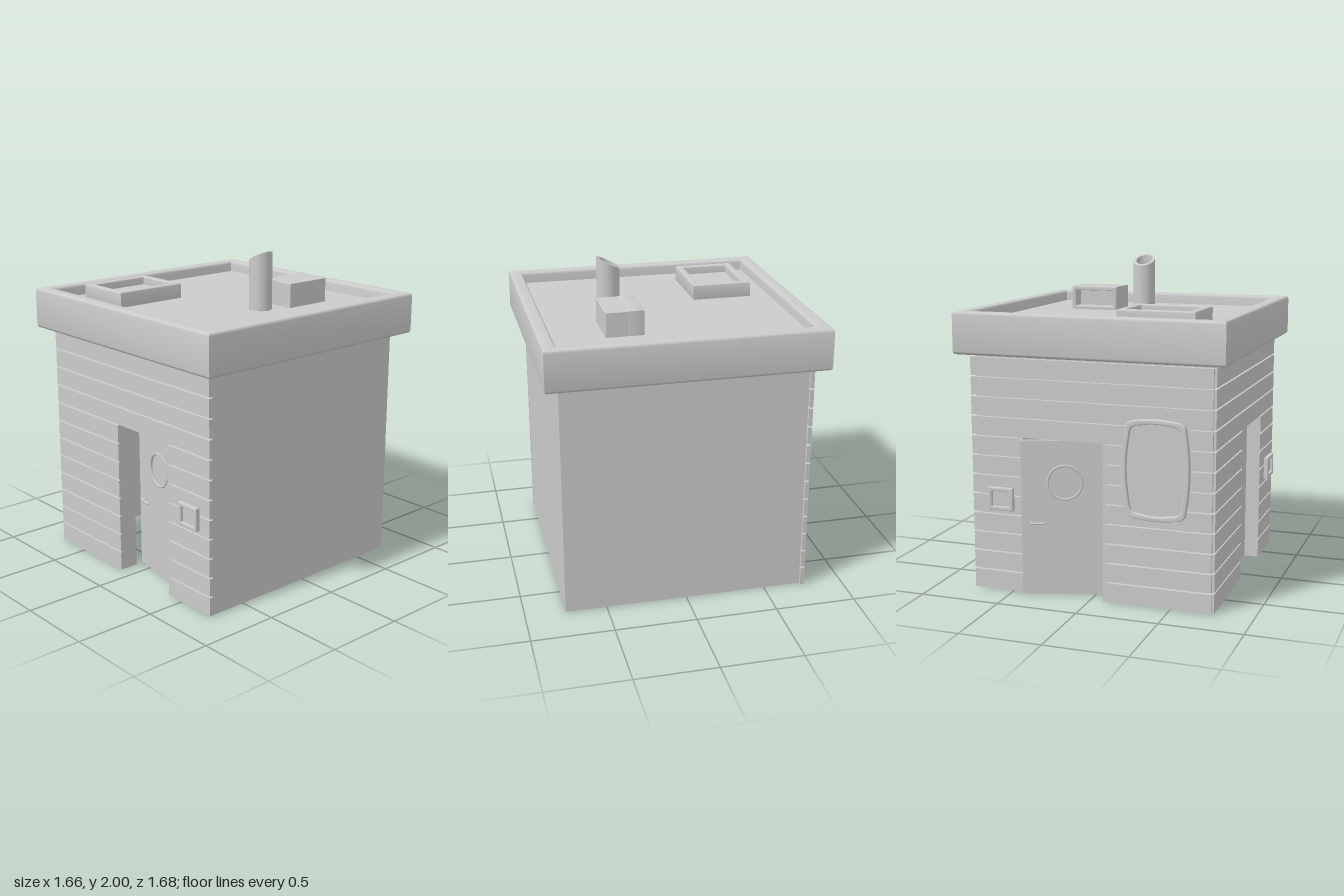
import * as THREE from 'three';
import { toCreasedNormals } from 'three/addons/utils/BufferGeometryUtils.js';
import { RoundedBoxGeometry } from 'three/addons/geometries/RoundedBoxGeometry.js';

const grey = new THREE.MeshStandardMaterial({ color: 0xcccccc });
const greyThin = new THREE.MeshStandardMaterial({ color: 0xcccccc, side: THREE.DoubleSide });

function add(parent, name, geometry, x = 0, y = 0, z = 0, material = grey) {
  const mesh = new THREE.Mesh(geometry, material);
  mesh.name = name;
  mesh.position.set(x, y, z);
  parent.add(mesh);
  return mesh;
}

// Box given by its two extreme corners
function span(parent, name, x0, x1, y0, y1, z0, z1) {
  return add(parent, name, new THREE.BoxGeometry(x1 - x0, y1 - y0, z1 - z0),
    (x0 + x1) / 2, (y0 + y1) / 2, (z0 + z1) / 2);
}

const polygon = (pts, Type = THREE.Shape) => new Type(pts.map(p => new THREE.Vector2(...p)));

const rect = (x0, x1, y0, y1, Type) =>
  polygon([[x0, y0], [x1, y0], [x1, y1], [x0, y1]], Type);

// Extrusion whose total depth includes a rounded bevel
function extrude(shape, depth, bevel = 0) {
  const g = new THREE.ExtrudeGeometry(shape, {
    depth: depth - 2 * bevel, bevelEnabled: bevel > 0, bevelThickness: bevel,
    bevelSize: bevel, bevelOffset: -bevel, bevelSegments: 3, curveSegments: 24,
  });
  g.translate(0, 0, bevel);
  return toCreasedNormals(g, 0.6);
}

// Rectangular frame with a rectangular hole
function frame(w, h, border, depth, bevel) {
  const s = rect(-w / 2, w / 2, -h / 2, h / 2);
  s.holes.push(rect(-w / 2 + border, w / 2 - border, -h / 2 + border, h / 2 - border, THREE.Path));
  return extrude(s, depth, bevel);
}

// Rounded window outline with gently bowed sides
function windowOutline(w, h, Type = THREE.Shape) {
  const s = new Type(), a = w / 2, b = h / 2, r = 0.07, k = 0.02;
  s.moveTo(-a + k + r, -b + k / 2);
  s.quadraticCurveTo(0, -b - k / 2, a - k - r, -b + k / 2);
  s.quadraticCurveTo(a - k, -b + k / 2, a - k, -b + r);
  s.quadraticCurveTo(a + k, 0, a - k, b - r);
  s.quadraticCurveTo(a - k, b - k / 2, a - k - r, b - k / 2);
  s.quadraticCurveTo(0, b + k / 2, -a + k + r, b - k / 2);
  s.quadraticCurveTo(-a + k, b - k / 2, -a + k, b - r);
  s.quadraticCurveTo(-a - k, 0, -a + k, -b + r);
  s.quadraticCurveTo(-a + k, -b + k / 2, -a + k + r, -b + k / 2);
  return s;
}

// Door hinged at its own origin, reaching towards -x, outer face at z = 0
function makeDoor(w, h) {
  const door = new THREE.Group();
  door.name = 'door';
  const leaf = rect(-w, 0, 0.005, h);
  leaf.holes.push(new THREE.Path().absarc(-w / 2, 0.7, 0.1, 0, Math.PI * 2, true));
  add(door, 'doorLeaf', extrude(leaf, 0.03), 0, 0, -0.03);
  const pane = new THREE.CylinderGeometry(0.1, 0.1, 0.012, 40).rotateX(Math.PI / 2);
  add(door, 'porthole', pane, -w / 2, 0.7, -0.015);
  for (const [z, out] of [[0, 1], [-0.03, -1]]) {
    add(door, 'portholeRing', new THREE.TorusGeometry(0.103, 0.007, 8, 40), -w / 2, 0.7, z);
    const stem = new THREE.CylinderGeometry(0.011, 0.011, 0.026, 12).rotateX(Math.PI / 2);
    add(door, 'handleStem', stem, -w + 0.06, 0.45, z + out * 0.01);
    const lever = new THREE.CapsuleGeometry(0.008, 0.08, 4, 10).rotateZ(Math.PI / 2);
    add(door, 'handleLever', lever, -w + 0.1, 0.45, z + out * 0.02);
  }
  return door;
}

// Clad wall facing local +z, with a doorway from d0 to d1
function makeWall(name, { wall, boards, d0, d1, hinge, swing, panelX }) {
  const g = new THREE.Group();
  g.name = name;
  const top = 0.96, face = 0.735;
  const sheet = polygon([[wall[0], 0], [d0, 0], [d0, top], [d1, top], [d1, 0],
    [wall[1], 0], [wall[1], 1.5], [wall[0], 1.5]]);
  add(g, 'wallSheet', new THREE.ShapeGeometry(sheet), 0, 0, face, greyThin);

  // Horizontal boards, split at the doorway
  for (let i = 0; i < 12; i++) {
    const y0 = i * 0.12 + (i ? 0.006 : 0), y1 = (i + 1) * 0.12 - 0.004;
    const runs = i < 8 ? [[boards[0], d0], [d1, boards[1]]] : [boards];
    for (const [a, b] of runs) span(g, 'board', a, b, y0, y1, face, 0.76);
  }

  // Door reveal
  span(g, 'jamb', d0 - 0.015, d0, 0, top, 0.64, 0.75);
  span(g, 'jamb', d1, d1 + 0.015, 0, top, 0.62, 0.75);
  span(g, 'lintel', d0 - 0.015, d1 + 0.015, top, top + 0.015, 0.58, 0.75);

  const door = makeDoor((d1 - d0) * 1.03, 0.955);
  door.position.set(d1, 0, hinge);
  door.rotation.y = swing;
  g.add(door);

  // Small square panel beside the door
  add(g, 'panelFrame', frame(0.16, 0.14, 0.022, 0.03, 0.004), panelX, 0.58, 0.76);
  add(g, 'panelPlate', new THREE.BoxGeometry(0.13, 0.11, 0.02), panelX, 0.58, 0.762);
  return g;
}

function makeRoof() {
  const roof = new THREE.Group();
  roof.name = 'roof';

  // Raised rim and sunken deck
  const rim = rect(-0.832, 0.832, -0.84, 0.84);
  rim.holes.push(rect(-0.747, 0.752, -0.758, 0.755, THREE.Path));
  add(roof, 'roofRim', extrude(rim, 0.255, 0.018).rotateX(-Math.PI / 2), 0, 1.455, 0);
  span(roof, 'roofDeck', -0.77, 0.77, 1.46, 1.64, -0.78, 0.78);

  // Skylight
  const sky = frame(0.475, 0.375, 0.043, 0.105, 0.008).rotateX(-Math.PI / 2);
  add(roof, 'skylightFrame', sky, -0.36, 1.63, -0.443);
  add(roof, 'skylightPane', new THREE.BoxGeometry(0.41, 0.04, 0.31), -0.36, 1.665, -0.443);

  // Vent box, open to the back
  add(roof, 'ventMouth', frame(0.31, 0.155, 0.026, 0.1, 0.005), 0.33, 1.713, 0.198);
  add(roof, 'ventBody', new RoundedBoxGeometry(0.31, 0.155, 0.14, 2, 0.005), 0.33, 1.713, 0.36);

  // Hollow chimney with a slanted top
  const profile = [[0.07, 1.6], [0.07, 1.965], [0.053, 1.965], [0.053, 1.6]];
  const pipe = new THREE.LatheGeometry(profile.map(p => new THREE.Vector2(...p)), 40);
  const pos = pipe.attributes.position;
  for (let i = 0; i < pos.count; i++) {
    if (pos.getY(i) > 1.9) pos.setY(i, 1.965 + pos.getZ(i) * 0.5);
  }
  add(roof, 'chimney', toCreasedNormals(pipe, 0.6), 0.025, 0, 0.325, greyThin);
  return roof;
}

export function createModel() {
  const model = new THREE.Group();
  model.name = 'cabin';

  // Plain front and left walls, open underneath
  add(model, 'frontWall', new THREE.PlaneGeometry(1.475, 1.5), 0.0025, 0.75, 0.753, greyThin);
  const left = add(model, 'leftWall', new THREE.PlaneGeometry(1.488, 1.5), 0.74, 0.75, 0.009, greyThin);
  left.rotation.y = Math.PI / 2;

  // Clad back wall with its window
  const back = makeWall('backWall', {
    wall: [-0.74, 0.735], boards: [-0.76, 0.745], d0: -0.43, d1: 0.08,
    hinge: 0.65, swing: 0.287, panelX: -0.567,
  });
  back.rotation.y = Math.PI;
  const surround = windowOutline(0.41, 0.6);
  surround.holes.push(windowOutline(0.355, 0.545, THREE.Path));
  add(back, 'windowFrame', extrude(surround, 0.04, 0.005), 0.41, 0.83, 0.75);
  add(back, 'windowPane', extrude(windowOutline(0.38, 0.57), 0.022), 0.41, 0.83, 0.745);
  model.add(back);

  // Clad right wall
  const right = makeWall('rightWall', {
    wall: [-0.735, 0.753], boards: [-0.745, 0.755], d0: -0.1, d1: 0.38,
    hinge: 0.67, swing: -0.16, panelX: 0.59,
  });
  right.rotation.y = -Math.PI / 2;
  model.add(right);

  model.add(makeRoof());
  return model;
}
